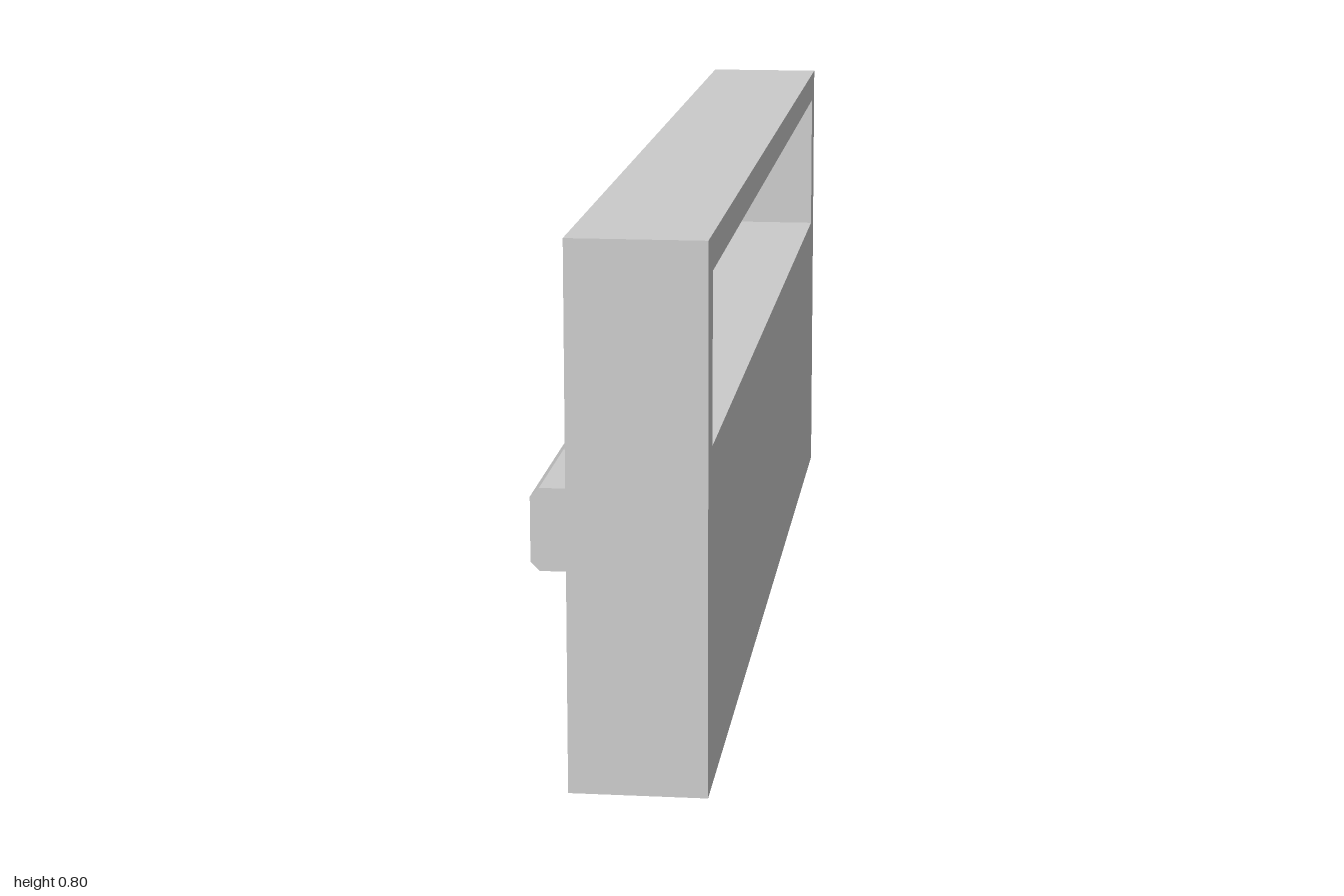
import * as THREE from 'three';

const material = new THREE.MeshStandardMaterial({ color: 0xcccccc, flatShading: true });

const points = (list) => list.map(([x, y]) => new THREE.Vector2(x, y));

function extrude(name, shape, depth) {
  const geometry = new THREE.ExtrudeGeometry(shape, { depth, bevelEnabled: false });
  const mesh = new THREE.Mesh(geometry, material);
  mesh.name = name;
  return mesh;
}

export function createModel() {
  const group = new THREE.Group();
  group.name = 'slottedPanel';

  // Upright panel with a long window near the top, extruded across its thickness
  const face = new THREE.Shape(points([[-1, 0], [1, 0], [1, 0.8], [-1, 0.8]]));
  face.holes.push(new THREE.Path(points([[-0.943, 0.5], [-0.943, 0.748], [0.943, 0.748], [0.943, 0.5]])));
  const panel = extrude('panel', face, 0.2);
  panel.rotation.y = Math.PI / 2;
  panel.position.x = -0.075;
  group.add(panel);

  // Chamfered rail along the full length of the right side
  const inner = -0.075, outer = -0.125, low = 0.327, high = 0.447, c = 0.013;
  const profile = new THREE.Shape(points([
    [inner, low], [inner, high], [outer + c, high],
    [outer, high - c], [outer, low + c], [outer + c, low],
  ]));
  const rail = extrude('sideRail', profile, 2);
  rail.position.z = -1;
  group.add(rail);

  return group;
}
